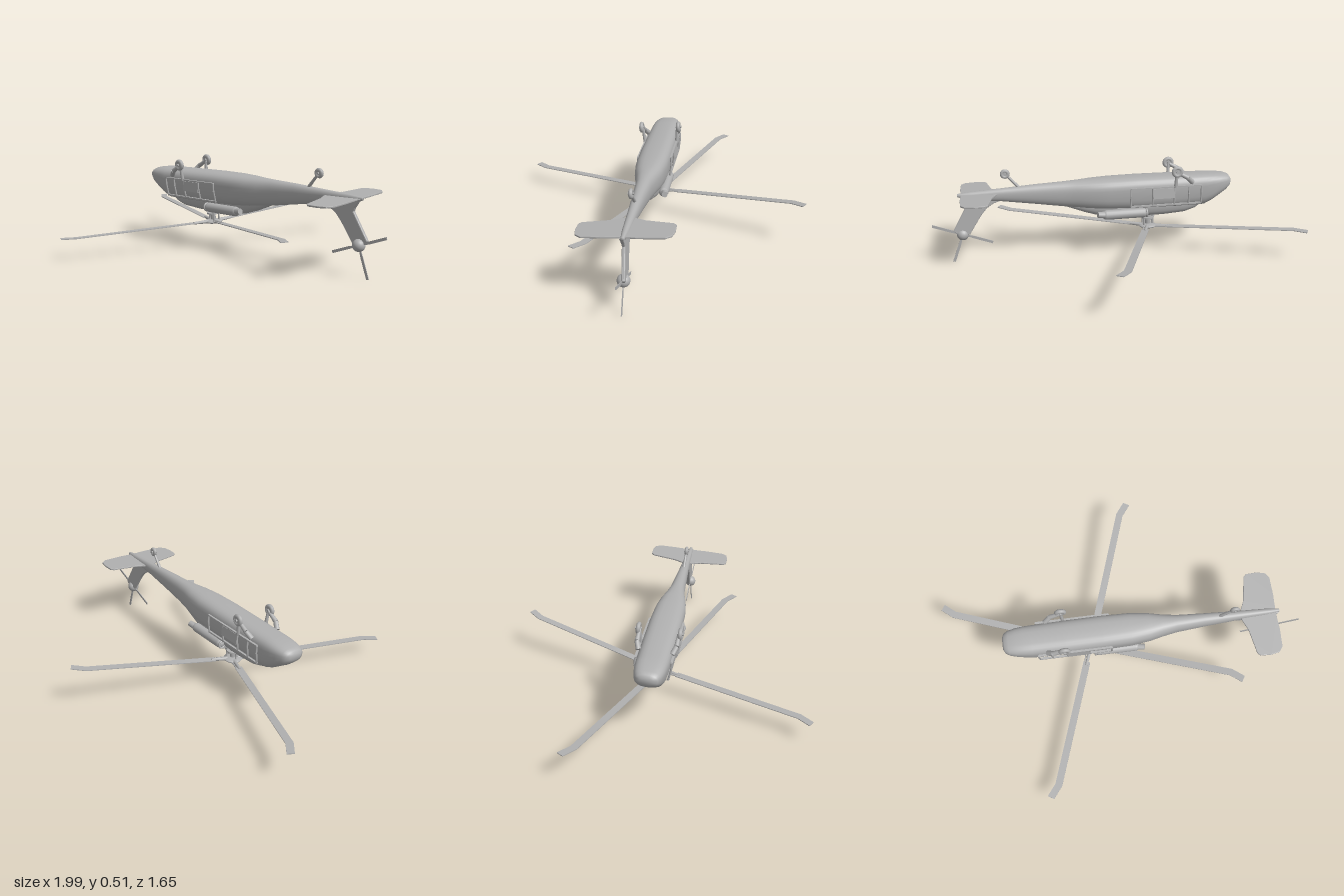
import * as THREE from 'three';

const grey = new THREE.MeshStandardMaterial({ color: 0xb0b0b0 });
grey.name = 'light grey';

function add(parent, name, geometry, x = 0, y = 0, z = 0) {
  const m = new THREE.Mesh(geometry, grey);
  m.name = name;
  m.position.set(x, y, z);
  parent.add(m);
  return m;
}

// Rod between two points
function rod(parent, name, a, b, r, r2 = r) {
  const p = new THREE.Vector3(...a), q = new THREE.Vector3(...b);
  const d = q.clone().sub(p);
  const m = add(parent, name, new THREE.CylinderGeometry(r2, r, d.length(), 10));
  m.position.copy(p).add(q).multiplyScalar(0.5);
  m.quaternion.setFromUnitVectors(new THREE.Vector3(0, 1, 0), d.normalize());
  return m;
}

// Skin over rounded sections along x: [x, upper y, lower y, half width, squareness, lower-edge taper]
function loft(sections, n = 32) {
  const pos = [], idx = [];
  for (const [x, hi, lo, w, e, taper] of sections) {
    for (let j = 0; j < n; j++) {
      const t = (j / n) * Math.PI * 2, c = Math.cos(t), s = Math.sin(t);
      const cy = Math.sign(c) * Math.abs(c) ** (2 / e);
      const cz = Math.sign(s) * Math.abs(s) ** (2 / e);
      const narrow = 1 - taper * (1 - cy) / 2;
      pos.push(x, (hi + lo) / 2 + cy * (hi - lo) / 2, cz * w * narrow);
    }
  }
  const last = sections.length - 1;
  for (let i = 0; i < last; i++) for (let j = 0; j < n; j++) {
    const k = (j + 1) % n, a = i * n + j, b = i * n + k;
    idx.push(a, b, a + n, b, b + n, a + n);
  }
  for (const i of [0, last]) {
    const [x, hi, lo] = sections[i], c = pos.length / 3;
    pos.push(x, (hi + lo) / 2, 0);
    for (let j = 0; j < n; j++) {
      const a = i * n + j, b = i * n + (j + 1) % n;
      if (i === 0) idx.push(c, b, a); else idx.push(c, a, b);
    }
  }
  const g = new THREE.BufferGeometry();
  g.setAttribute('position', new THREE.Float32BufferAttribute(pos, 3));
  g.setIndex(idx);
  g.computeVertexNormals();
  return g;
}

function plate(points, depth, bevel = 0) {
  const shape = new THREE.Shape(points.map(p => new THREE.Vector2(...p)));
  const g = new THREE.ExtrudeGeometry(shape, {
    depth, bevelEnabled: bevel > 0, bevelSize: bevel, bevelThickness: bevel, bevelSegments: 2,
  });
  return g.translate(0, 0, -depth / 2);
}

function wheel(parent, name, x, y, z, r, w) {
  const g = new THREE.Group();
  g.name = name;
  g.position.set(x, y, z);
  add(g, 'tyre', new THREE.TorusGeometry(r - w / 2, w / 2, 10, 24));
  add(g, 'wheelHub', new THREE.CylinderGeometry(r * 0.6, r * 0.6, w * 0.7, 16).rotateX(Math.PI / 2));
  add(g, 'axle', new THREE.CylinderGeometry(r * 0.22, r * 0.22, w * 1.5, 10).rotateX(Math.PI / 2));
  parent.add(g);
}

export function createModel() {
  const model = new THREE.Group();
  model.name = 'invertedHelicopter';

  // The airframe lies upside down, with a slight roll and yaw
  const body = new THREE.Group();
  body.name = 'airframe';
  body.rotation.set(0.07, 0.025, 0);
  body.position.z = -0.015;
  model.add(body);

  add(body, 'fuselage', loft([
    [-0.632, 0.408, 0.374, 0.035, 2.2, 0], [-0.622, 0.421, 0.355, 0.056, 2.4, 0.05],
    [-0.6, 0.429, 0.335, 0.07, 2.6, 0.1], [-0.56, 0.434, 0.308, 0.081, 2.8, 0.15],
    [-0.52, 0.437, 0.281, 0.087, 3, 0.2], [-0.48, 0.438, 0.262, 0.09, 3, 0.2],
    [-0.3, 0.44, 0.256, 0.094, 3, 0.2], [-0.1, 0.442, 0.26, 0.095, 3, 0.2],
    [0.05, 0.441, 0.266, 0.092, 2.8, 0.2], [0.15, 0.438, 0.274, 0.079, 2.6, 0.2],
    [0.22, 0.434, 0.283, 0.062, 2.4, 0.2], [0.3, 0.43, 0.294, 0.047, 2.3, 0.2],
    [0.45, 0.424, 0.317, 0.036, 2.2, 0.2], [0.62, 0.413, 0.342, 0.026, 2.2, 0.2],
    [0.78, 0.404, 0.355, 0.018, 2.2, 0], [0.855, 0.396, 0.38, 0.009, 2.2, 0],
  ]));

  // Engine deck and its long tapering fairing
  add(body, 'engineDeck', loft([
    [-0.47, 0.3, 0.262, 0.03, 2.5, 0.2], [-0.43, 0.3, 0.239, 0.05, 2.6, 0.3],
    [-0.37, 0.3, 0.222, 0.06, 2.8, 0.3], [-0.25, 0.3, 0.214, 0.064, 2.8, 0.3],
    [0.0, 0.3, 0.216, 0.06, 2.8, 0.3], [0.09, 0.31, 0.225, 0.05, 2.6, 0.3],
    [0.18, 0.32, 0.252, 0.036, 2.4, 0.3], [0.29, 0.33, 0.294, 0.018, 2.2, 0],
  ]));

  for (const s of [1, -1]) {
    const side = s > 0 ? 'left' : 'right';

    // Engine pod with intake lip and exhaust
    const pod = add(body, side + 'EnginePod', new THREE.CapsuleGeometry(0.026, 0.2, 6, 16), -0.03, 0.246, s * 0.062);
    pod.rotation.z = Math.PI / 2;
    rod(body, side + 'Exhaust', [0.06, 0.246, s * 0.063], [0.12, 0.254, s * 0.075], 0.019, 0.016);
    add(body, side + 'IntakeLip', new THREE.TorusGeometry(0.02, 0.006, 8, 18).rotateY(Math.PI / 2), -0.15, 0.246, s * 0.062);

    // Door rails and posts standing proud of the cabin side
    const doors = new THREE.Group();
    doors.name = side + 'CabinDoors';
    body.add(doors);
    add(doors, 'lowerDoorRail', new THREE.BoxGeometry(0.39, 0.007, 0.012), -0.255, 0.39, s * 0.091);
    add(doors, 'upperDoorRail', new THREE.BoxGeometry(0.39, 0.008, 0.012), -0.255, 0.288, s * 0.08);
    for (const x of [-0.45, -0.38, -0.3, -0.18, -0.06]) {
      rod(doors, 'doorPost', [x, 0.288, s * 0.081], [x, 0.35, s * 0.092], 0.005);
      rod(doors, 'doorPost', [x, 0.35, s * 0.092], [x, 0.39, s * 0.092], 0.005);
    }
    const panel = add(doors, 'doorPanel', new THREE.BoxGeometry(0.12, 0.055, 0.006), -0.24, 0.356, s * 0.094);
    panel.rotation.x = s * -0.06;

    // Main landing gear
    const gear = new THREE.Group();
    gear.name = side + 'MainGear';
    body.add(gear);
    rod(gear, 'trailingArm', [-0.4, 0.408, s * 0.085], [-0.37, 0.438, s * 0.1], 0.014, 0.013);
    rod(gear, 'trailingArm', [-0.37, 0.438, s * 0.1], [-0.31, 0.472, s * 0.1], 0.013, 0.009);
    rod(gear, 'shockStrut', [-0.305, 0.385, s * 0.092], [-0.31, 0.475, s * 0.1], 0.01, 0.008);
    wheel(gear, 'mainWheel', -0.31, 0.476, s * 0.106, 0.032, 0.022);
  }

  // Tail wheel
  rod(body, 'tailStrut', [0.53, 0.412, 0], [0.598, 0.49, 0], 0.009, 0.006);
  wheel(body, 'tailWheel', 0.6, 0.49, 0, 0.026, 0.02);

  // Tail fin
  add(body, 'tailFin', plate([
    [0.58, 0.36], [0.67, 0.336], [0.71, 0.308], [0.74, 0.272], [0.805, 0.17],
    [0.872, 0.178], [0.882, 0.19], [0.806, 0.325], [0.815, 0.345], [0.845, 0.385], [0.7, 0.39],
  ], 0.008, 0.005), 0, 0, 0.008);

  // Horizontal stabiliser, symmetric about the tail boom
  const half = [[0.65, 0.025], [0.675, 0.08], [0.69, 0.16], [0.7, 0.215], [0.715, 0.229],
    [0.77, 0.231], [0.815, 0.222], [0.835, 0.195], [0.838, 0.1], [0.835, 0.03]];
  const outline = [...half, ...half.map(([x, z]) => [x, -z]).reverse()];
  add(body, 'stabiliser', plate(outline, 0.005, 0.002).rotateX(Math.PI / 2), 0, 0.385, 0.005);

  // Tail rotor
  const tailRotor = new THREE.Group();
  tailRotor.name = 'tailRotor';
  tailRotor.position.set(0.84, 0.165, -0.008);
  model.add(tailRotor);
  add(tailRotor, 'tailRotorHub', new THREE.SphereGeometry(0.032, 20, 14));
  for (let i = 0; i < 4; i++) {
    const blade = add(tailRotor, 'tailRotorBlade', plate(
      [[0.02, -0.004], [0.06, -0.008], [0.166, -0.008], [0.168, 0.006], [0.06, 0.006], [0.02, 0.004]], 0.004));
    blade.rotation.z = 0.35 + i * Math.PI / 2;
  }

  // Mast and control rods
  rod(body, 'rotorMast', [-0.17, 0.148, 0], [-0.17, 0.24, 0], 0.013, 0.017);
  for (const [x, z] of [[-0.198, 0], [-0.145, 0.02], [-0.145, -0.02]]) {
    rod(body, 'controlRod', [x, 0.152, z], [x, 0.225, z], 0.005);
  }
  const swash = add(body, 'swashPlate', new THREE.CylinderGeometry(0.034, 0.034, 0.008, 24), -0.17, 0.198, 0);
  swash.rotation.x = 0.02;

  // Main rotor: hub, arms and four blades with swept tips
  const rotor = new THREE.Group();
  rotor.name = 'mainRotor';
  rotor.position.set(-0.17, 0.15, 0);
  model.add(rotor);
  const hub = add(rotor, 'rotorHub', new THREE.SphereGeometry(0.05, 24, 14));
  hub.scale.y = 0.24;
  hub.rotation.x = 0.087;
  const bladeShape = [[0.1, -0.018], [0.795, -0.018], [0.87, 0.008], [0.862, 0.045], [0.79, 0.02], [0.1, 0.02]];
  const tips = [[-0.826, 0.033, -0.275], [0.826, 0.045, 0.275], [0.262, 0.11, -0.826], [-0.262, -0.03, 0.826]];
  for (const tip of tips) {
    const u = new THREE.Vector3(...tip).normalize();
    const v = new THREE.Vector3(-u.z, 0, u.x).normalize();
    const n = new THREE.Vector3().crossVectors(u, v);
    const arm = new THREE.Group();
    arm.name = 'rotorArm';
    arm.quaternion.setFromRotationMatrix(new THREE.Matrix4().makeBasis(u, v, n));
    rotor.add(arm);
    add(arm, 'rotorBlade', plate(bladeShape, 0.004));
    rod(arm, 'bladeGrip', [0.03, 0, 0], [0.12, 0, 0], 0.011, 0.007);
    rod(arm, 'bladeDamper', [0.03, 0.018, 0], [0.1, 0.012, 0], 0.004);
  }
  return model;
}
